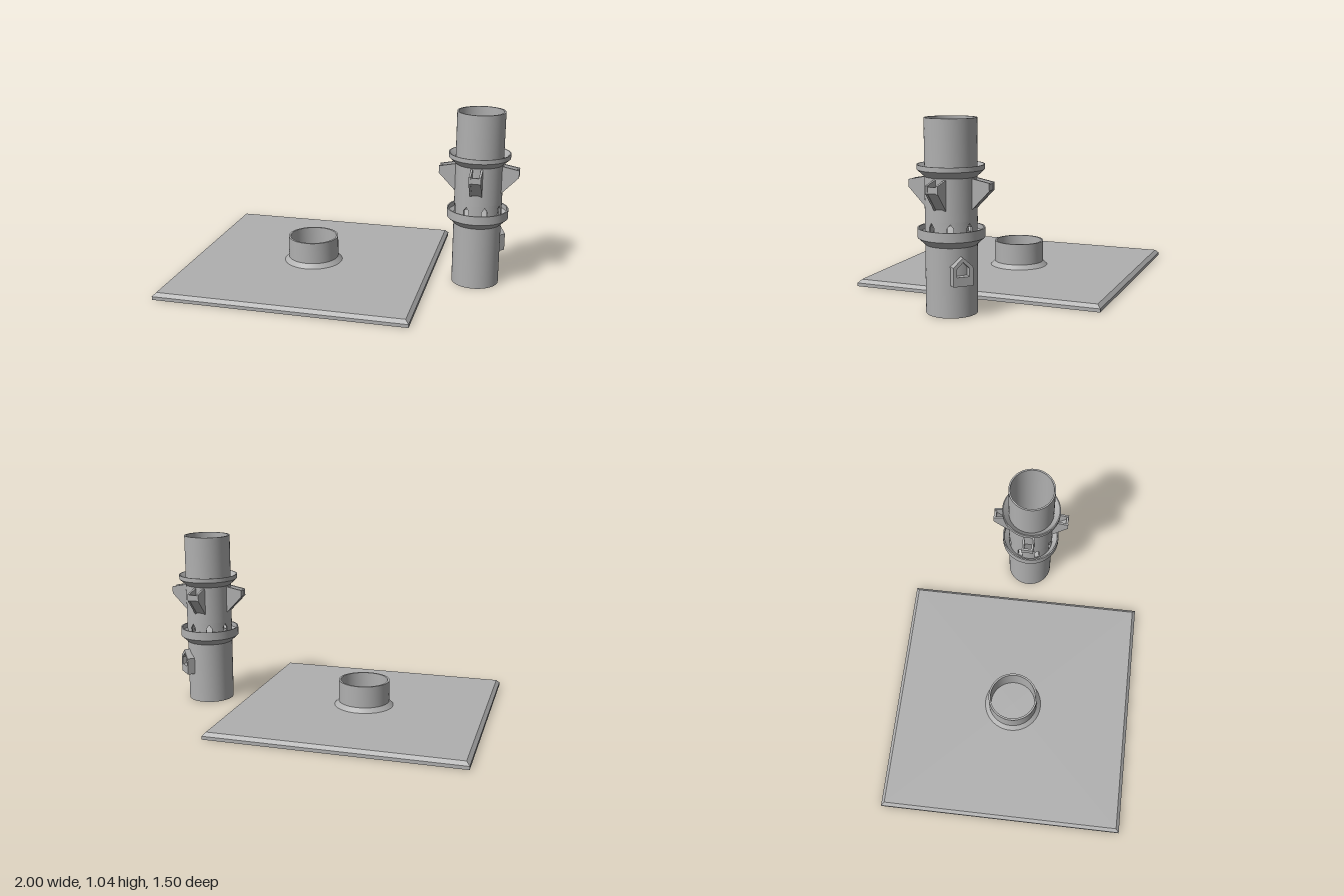
import * as THREE from 'three';
import { toCreasedNormals } from 'three/addons/utils/BufferGeometryUtils.js';

const grey = new THREE.MeshStandardMaterial({ color: 0xb0b0b0 });
grey.name = 'grey plastic';

function part(name, geometry, parent) {
  const mesh = new THREE.Mesh(toCreasedNormals(geometry, 0.45), grey);
  mesh.name = name;
  parent.add(mesh);
  return mesh;
}

const toPoints = (pairs) => pairs.map(([x, y]) => new THREE.Vector2(x, y));

// Closed ring profile: outside going up, inside coming down
function ring(pairs) {
  return new THREE.LatheGeometry(toPoints([...pairs, pairs[0]]), 64);
}

const pipe = (outer, inner, y0, y1) => ring([[outer, y0], [outer, y1], [inner, y1], [inner, y0]]);

// Flat outline extruded along z, starting at z0
function slab(pairs, depth, z0, hole) {
  const shape = new THREE.Shape(toPoints(pairs));
  if (hole) shape.holes.push(new THREE.Path(toPoints(hole)));
  return new THREE.ExtrudeGeometry(shape, { depth, bevelEnabled: false }).translate(0, 0, z0);
}

// Pipe section with eight pointed drain openings rising from its lower edge
function archedBand(outer, inner, y0, y1) {
  const cell = Math.PI / 4, w = 0.12;
  const cellSamples = [
    [-cell / 2, y0], [-0.3, y0], [-0.2, y0], [-w, y0], [-w, 0.477], [-w / 2, 0.489], [0, 0.5],
    [w / 2, 0.489], [w, 0.477], [w, y0], [0.2, y0], [0.3, y0], [cell / 2, y0],
  ];
  const positions = [], indices = [];
  for (let k = 0; k < 8; k++) {
    for (const [offset, bottom] of cellSamples) {
      const a = (k + 0.5) * cell + offset;
      for (const [r, y] of [[outer, bottom], [outer, y1], [inner, y1], [inner, bottom]]) {
        positions.push(r * Math.sin(a), y, r * Math.cos(a));
      }
    }
  }
  const columns = cellSamples.length * 8;
  for (let i = 0; i < columns - 1; i++) {
    for (let j = 0; j < 4; j++) {
      const a = i * 4 + j, d = i * 4 + (j + 1) % 4;
      indices.push(a, a + 4, d, a + 4, d + 4, d);
    }
  }
  const geometry = new THREE.BufferGeometry();
  geometry.setAttribute('position', new THREE.Float32BufferAttribute(positions, 3));
  geometry.setIndex(indices);
  return geometry;
}

function buildBase() {
  const base = new THREE.Group();
  base.name = 'base';
  base.position.x = -0.25;

  // Underside with four round foot recesses
  const outline = new THREE.Shape(toPoints([[-0.75, -0.75], [0.75, -0.75], [0.75, 0.75], [-0.75, 0.75]]));
  for (const x of [-0.6, 0.6]) {
    for (const y of [-0.6, 0.6]) {
      outline.holes.push(new THREE.Path().absarc(x, y, 0.065, 0, Math.PI * 2, true));
    }
  }
  const bottom = new THREE.ExtrudeGeometry(outline, { depth: 0.012, bevelEnabled: false, curveSegments: 32 });
  part('plateUnderside', bottom.rotateX(-Math.PI / 2), base);
  part('plate', new THREE.BoxGeometry(1.5, 0.008, 1.5).translate(0, 0.016, 0), base);

  // Chamfered upper half of the plate
  const top = new THREE.CylinderGeometry(0.73 * Math.SQRT2, 0.75 * Math.SQRT2, 0.02, 4);
  part('plateChamfer', top.rotateY(Math.PI / 4).translate(0, 0.03, 0), base);

  // Socket with a sloped foot
  part('socket', ring([[0.182, 0.038], [0.155, 0.066], [0.155, 0.197], [0.143, 0.197], [0.143, 0.038]]), base);
  return base;
}

function buildArm() {
  const arm = new THREE.Group();
  arm.name = 'armChute';
  const cheek = [[0.132, 0.565], [0.14, 0.573], [0.233, 0.67], [0.233, 0.712], [0.132, 0.732]];
  for (const z of [-0.035, 0.023]) part('chuteCheek', slab(cheek, 0.012, z), arm);
  const floor = [[0.132, 0.568], [0.231, 0.672], [0.231, 0.706], [0.218, 0.706], [0.218, 0.682], [0.132, 0.602]];
  part('chuteFloor', slab(floor, 0.046, -0.023), arm);
  return arm;
}

function buildTower() {
  const tower = new THREE.Group();
  tower.name = 'tower';
  tower.position.x = 0.767;

  part('lowerPipe', pipe(0.14, 0.13, 0, 0.42), tower);
  part('drainBand', archedBand(0.14, 0.13, 0.42, 0.51), tower);
  part('upperPipe', pipe(0.14, 0.13, 0.51, 1.045), tower);

  // Flared cups around the pipe, open at the top
  part('lowerCup', ring([[0.138, 0.372], [0.18, 0.411], [0.18, 0.463], [0.172, 0.463], [0.172, 0.435], [0.138, 0.405]]), tower);
  part('upperCup', ring([[0.138, 0.735], [0.18, 0.774], [0.18, 0.8], [0.174, 0.8], [0.138, 0.764]]), tower);

  // Inner cone that sheds towards the openings
  part('innerCone', new THREE.ConeGeometry(0.132, 0.06, 64).translate(0, 0.44, 0), tower);

  for (let k = 0; k < 4; k++) {
    const arm = buildArm();
    arm.rotation.y = k * Math.PI / 2;
    tower.add(arm);
  }

  // Gabled outlet housing on the back corner
  const gable = [[-0.055, 0.178], [0.055, 0.178], [0.055, 0.28], [0, 0.33], [-0.055, 0.28]];
  const opening = [[-0.035, 0.228], [0.035, 0.228], [0.035, 0.272], [0, 0.306], [-0.035, 0.272]];
  const housing = part('outletHousing', slab(gable, 0.047, 0.128, opening), tower);
  housing.rotation.y = Math.PI * 0.75;
  return tower;
}

export function createModel() {
  const model = new THREE.Group();
  model.name = 'planterTower';
  model.add(buildBase(), buildTower());
  return model;
}
